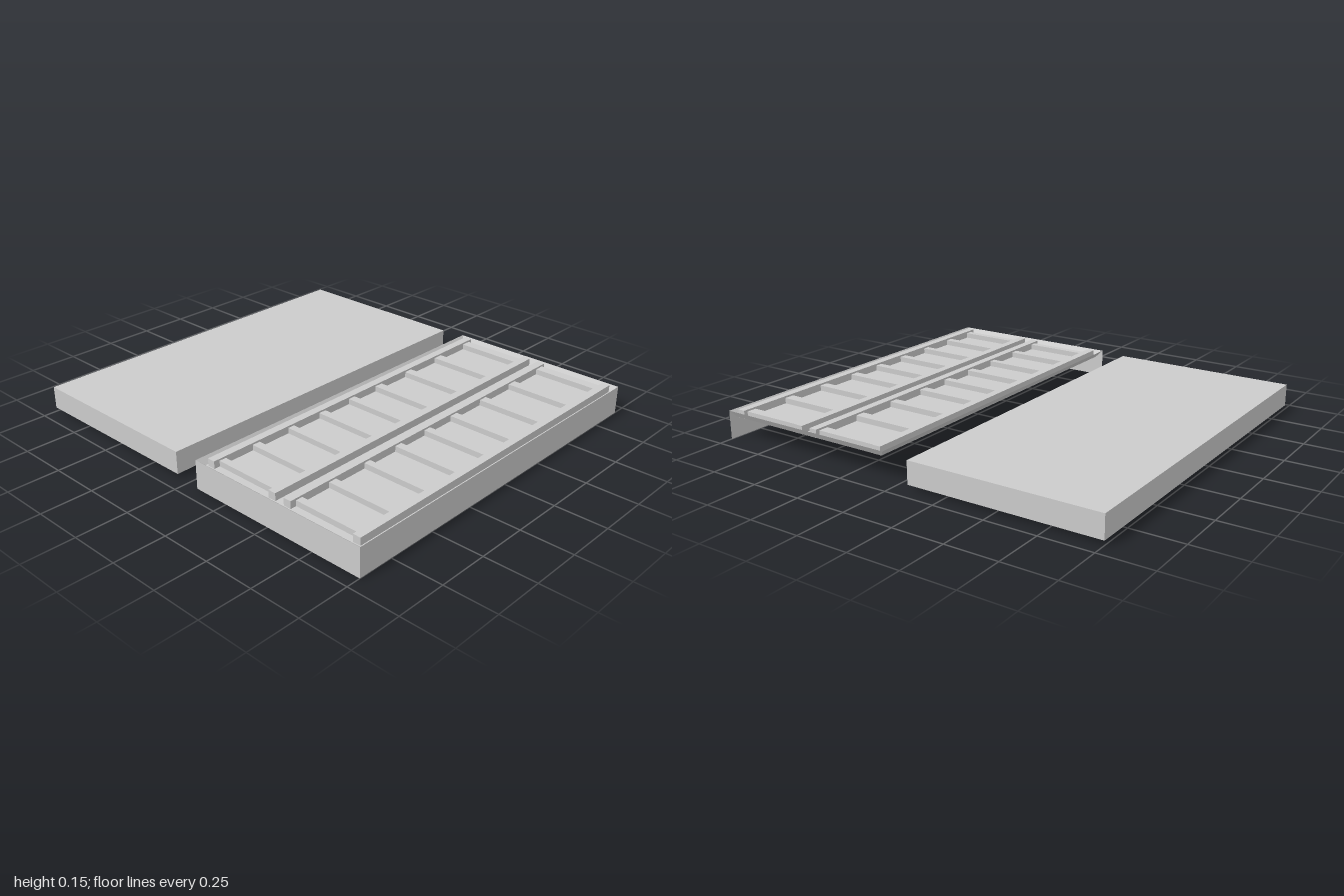
import * as THREE from 'three';

const grey = new THREE.MeshStandardMaterial({ color: 0xcccccc, flatShading: true });
const thin = new THREE.MeshStandardMaterial({ color: 0xcccccc, flatShading: true, side: THREE.DoubleSide });

// Box given by its limits on each axis
function block(name, [x0, x1], [y0, y1], [z0, z1]) {
  const mesh = new THREE.Mesh(new THREE.BoxGeometry(x1 - x0, y1 - y0, z1 - z0), grey);
  mesh.position.set((x0 + x1) / 2, (y0 + y1) / 2, (z0 + z1) / 2);
  mesh.name = name;
  return mesh;
}

// Open surface joining two rows of points
function strip(name, lower, upper, closed) {
  const n = lower.length, index = [];
  for (let i = 0; i < (closed ? n : n - 1); i++) {
    const j = (i + 1) % n;
    index.push(i, j, n + j, i, n + j, n + i);
  }
  const geo = new THREE.BufferGeometry();
  geo.setAttribute('position', new THREE.Float32BufferAttribute([...lower, ...upper].flat(), 3));
  geo.setIndex(index);
  const flat = geo.toNonIndexed();
  flat.computeVertexNormals();
  const mesh = new THREE.Mesh(flat, thin);
  mesh.name = name;
  return mesh;
}

// Rectangle of corners at one height
const corners = (x0, x1, z0, z1, y) => [[x0, y, z1], [x1, y, z1], [x1, y, z0], [x0, y, z0]];

export function createModel() {
  const model = new THREE.Group();

  // Plain slab
  model.add(block('plainSlab', [-1, -0.065], [0.02, 0.13], [-0.93, 0.93]));

  // Tray: sunken floor, sloping rim, and walls on two sides only
  const tray = new THREE.Group();
  tray.name = 'trackTray';
  const inner = corners(0.088, 0.972, -0.91, 0.895, 0.11);
  const outer = corners(0.065, 1, -0.93, 0.93, 0.14);
  tray.add(strip('rim', inner, outer, true));
  tray.add(strip('floor', [inner[0], inner[1]], [inner[3], inner[2]], false));
  const wallTop = outer.slice(0, 3);
  tray.add(strip('outerWalls', wallTop.map(([x, , z]) => [x, 0, z]), wallTop, false));
  model.add(tray);

  // Two ladders: a pair of long rails with cross ties between the cells
  const cells = [
    [-0.91, -0.885], [-0.835, -0.645], [-0.595, -0.405], [-0.36, -0.18], [-0.135, 0.015],
    [0.055, 0.215], [0.255, 0.42], [0.455, 0.63], [0.67, 0.825], [0.86, 0.89],
  ];
  for (const x of [0.1, 0.557]) {
    const ladder = new THREE.Group();
    ladder.name = 'ladder';
    for (const dx of [0, 0.37]) {
      ladder.add(block('rail', [x + dx, x + dx + 0.039], [0.107, 0.146], [-0.905, 0.89]));
    }
    for (let i = 0; i < cells.length - 1; i++) {
      ladder.add(block('crossTie', [x + 0.039, x + 0.37], [0.11, 0.137], [cells[i][1], cells[i + 1][0]]));
    }
    model.add(ladder);
  }
  return model;
}
